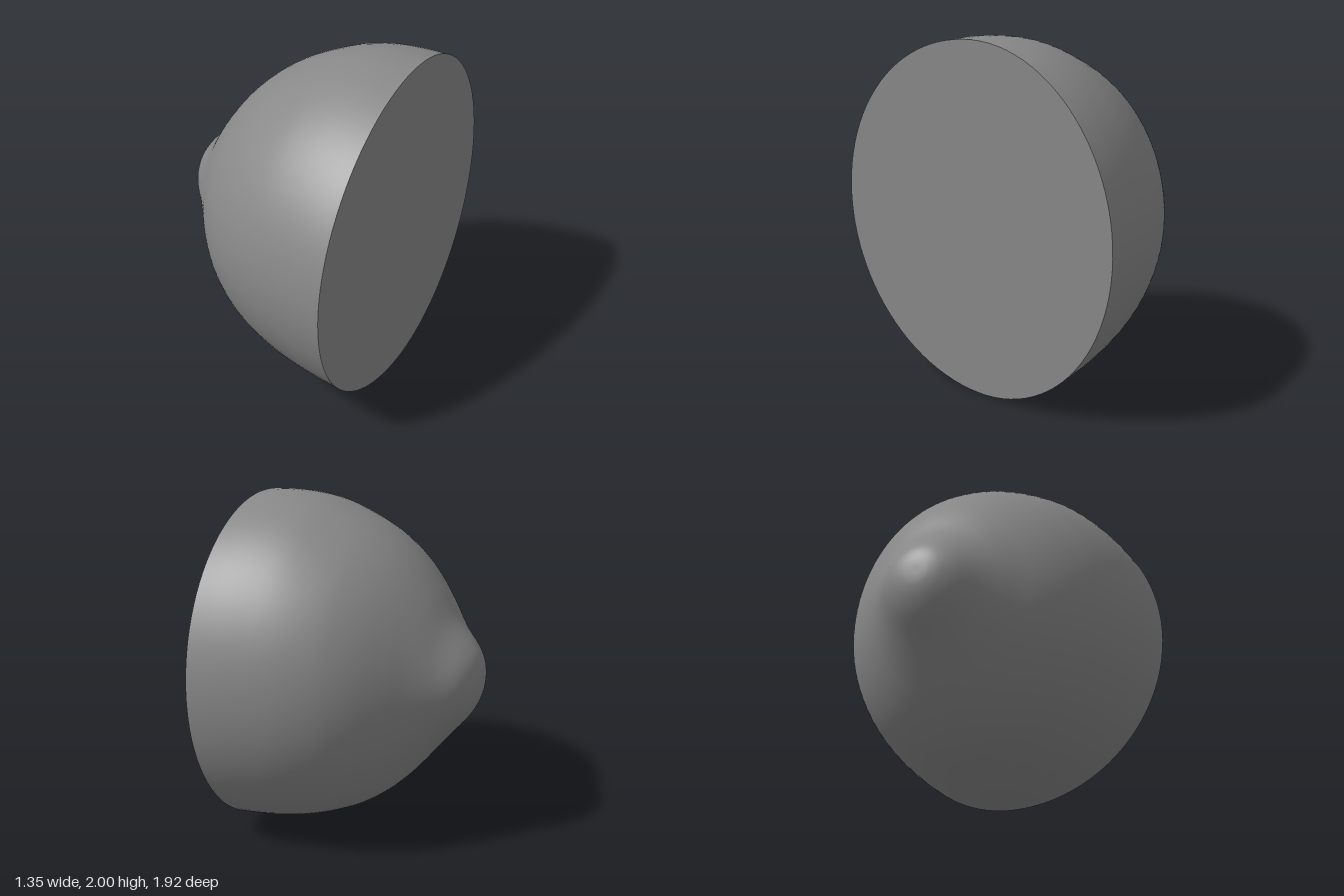
import * as THREE from 'three';

// Outline stations: x, top y, bottom y, back z, front z
const STATIONS = [
  [-0.677, 1.0, 1.0, 0, 0],
  [-0.676, 1.045, 0.96, -0.045, 0.04],
  [-0.669, 1.09, 0.91, -0.1, 0.085],
  [-0.647, 1.15, 0.845, -0.17, 0.145],
  [-0.6, 1.215, 0.765, -0.25, 0.22],
  [-0.5, 1.33, 0.645, -0.35, 0.33],
  [-0.4, 1.49, 0.52, -0.455, 0.45],
  [-0.3, 1.62, 0.4, -0.57, 0.572],
  [-0.2, 1.72, 0.299, -0.675, 0.671],
  [-0.1, 1.797, 0.22, -0.758, 0.745],
  [0, 1.857, 0.16, -0.82, 0.803],
  [0.13, 1.917, 0.105, -0.875, 0.857],
  [0.26, 1.965, 0.063, -0.911, 0.897],
  [0.4, 1.992, 0.033, -0.936, 0.926],
  [0.54, 2.0, 0.014, -0.953, 0.947],
  [0.675, 1.995, 0.002, -0.96, 0.96],
];
const SEGMENTS = 96;
const RINGS = 75;

const spline = (a, b) => new THREE.CatmullRomCurve3(
  STATIONS.map((s) => new THREE.Vector3(s[0], s[a], s[b])), false, 'catmullrom', 0.5);
const heightCurve = spline(1, 2);
const depthCurve = spline(3, 4);

// Cross-section made of four quarter ellipses, its crest leaning slightly back
function section(t) {
  const h = heightCurve.getPoint(t);
  const d = depthCurve.getPoint(t);
  const midY = 1;
  const midZ = -0.05 * (h.y - h.z) / 2;
  const points = [];
  for (let j = 0; j < SEGMENTS; j++) {
    const a = (j / SEGMENTS) * Math.PI * 2;
    const c = Math.cos(a), s = Math.sin(a);
    points.push(
      h.x,
      midY + c * (c > 0 ? h.y - midY : midY - h.z),
      midZ + s * (s > 0 ? d.z - midZ : midZ - d.y));
  }
  return points;
}

function makeMesh(name, positions, index) {
  const geometry = new THREE.BufferGeometry();
  geometry.setAttribute('position', new THREE.Float32BufferAttribute(positions, 3));
  geometry.setIndex(index);
  geometry.computeVertexNormals();
  const mesh = new THREE.Mesh(geometry, new THREE.MeshStandardMaterial({ color: 0x888888 }));
  mesh.name = name;
  return mesh;
}

export function createModel() {
  const group = new THREE.Group();
  group.name = 'domeWithTip';

  // Smooth dome, from the tip vertex out to the rim
  const positions = [...STATIONS[0].slice(0, 2), 0];
  const index = [];
  for (let i = 1; i <= RINGS; i++) positions.push(...section(i / RINGS));
  const at = (i, j) => 1 + (i - 1) * SEGMENTS + (j % SEGMENTS);
  for (let j = 0; j < SEGMENTS; j++) {
    index.push(0, at(1, j + 1), at(1, j));
    for (let i = 1; i < RINGS; i++) {
      index.push(at(i, j), at(i, j + 1), at(i + 1, j));
      index.push(at(i, j + 1), at(i + 1, j + 1), at(i + 1, j));
    }
  }
  group.add(makeMesh('dome', positions, index));

  // Flat face closing the wide end
  const rim = section(1);
  const fan = [];
  for (let j = 0; j < SEGMENTS; j++) fan.push(0, j + 1, ((j + 1) % SEGMENTS) + 1);
  group.add(makeMesh('flatBase', [rim[0], 1, 0, ...rim], fan));

  return group;
}
